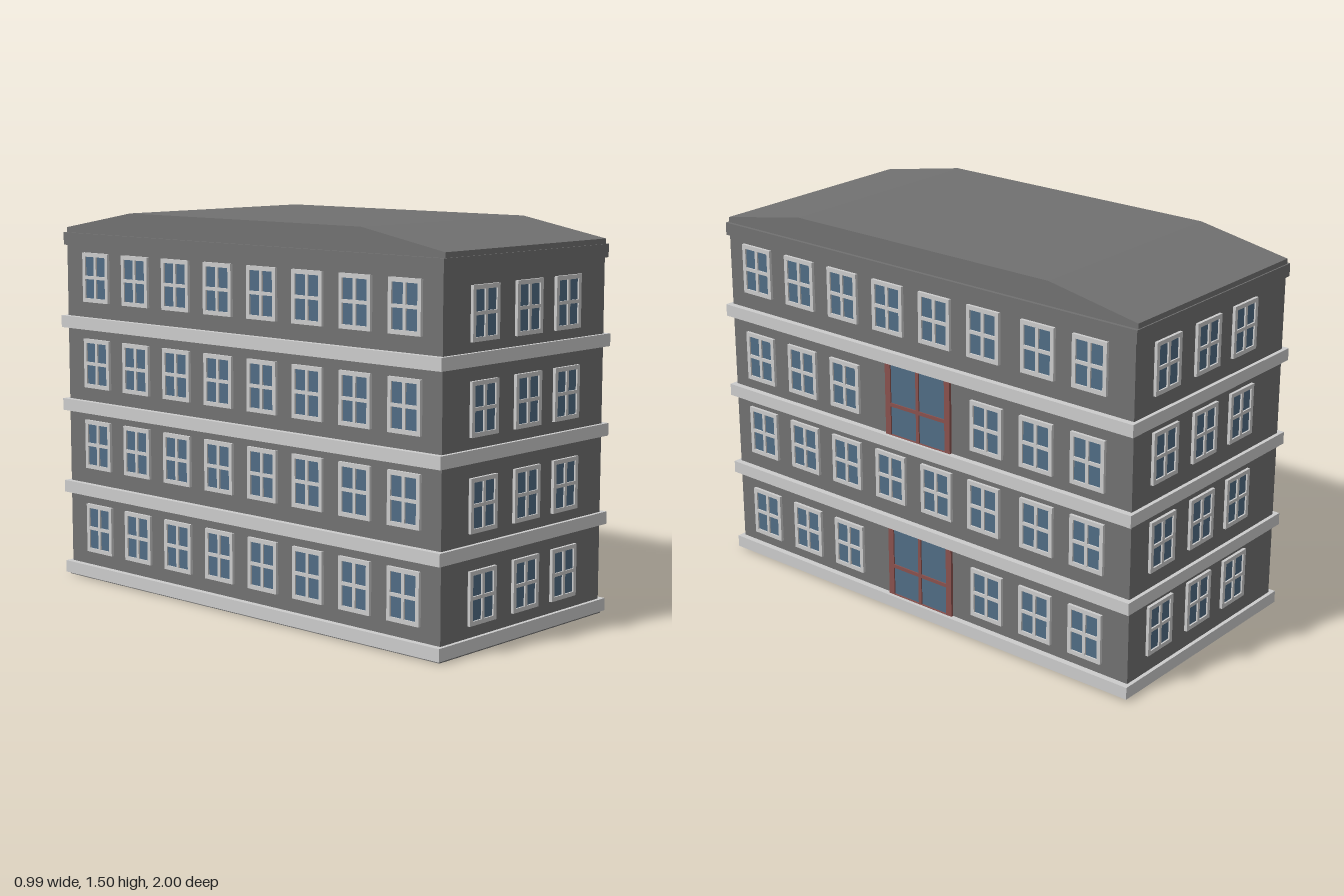
import * as THREE from 'three';

const mat = (color) => new THREE.MeshStandardMaterial({ color });
const wallMat = mat(0x717171);
const bandMat = mat(0xbcbcbc);
const frameMat = mat(0xcccccc);
const glassMat = mat(0x506c84);
const doorMat = mat(0x89514d);

const HALF_X = 0.47, HALF_Z = 0.985; // wall faces

function box(parent, name, w, h, d, x, y, z, material) {
  const mesh = new THREE.Mesh(new THREE.BoxGeometry(w, h, d), material);
  mesh.name = name;
  mesh.position.set(x, y, z);
  parent.add(mesh);
  return mesh;
}

// Flat frame with four panes cut out; the crossbar sits at height barY
function framePanel(w, h, edgeX, edgeY, bar, barY, depth) {
  const rect = (Kind, x0, y0, x1, y1) => {
    const p = new Kind();
    p.moveTo(x0, y0);
    p.lineTo(x1, y0);
    p.lineTo(x1, y1);
    p.lineTo(x0, y1);
    p.closePath();
    return p;
  };
  const shape = rect(THREE.Shape, -w / 2, -h / 2, w / 2, h / 2);
  for (const [x0, x1] of [[-w / 2 + edgeX, -bar / 2], [bar / 2, w / 2 - edgeX]]) {
    for (const [y0, y1] of [[-h / 2 + edgeY, barY - bar / 2], [barY + bar / 2, h / 2 - edgeY]]) {
      shape.holes.push(rect(THREE.Path, x0, y0, x1, y1));
    }
  }
  return new THREE.ExtrudeGeometry(shape, { depth, bevelEnabled: false });
}

const windowGeo = framePanel(0.15, 0.198, 0.016, 0.016, 0.013, 0, 0.012);
const windowGlassGeo = new THREE.BoxGeometry(0.13, 0.18, 0.005);
const doorGeo = framePanel(0.32, 0.29, 0.026, 0.004, 0.014, -0.02, 0.011);
const doorGlassGeo = new THREE.BoxGeometry(0.3, 0.285, 0.005);

// A frame and its glass, built facing +z
function opening(name, frameGeo, glassGeo, frameMaterial) {
  const group = new THREE.Group();
  group.name = name;
  const frame = new THREE.Mesh(frameGeo, frameMaterial);
  frame.name = name + 'Frame';
  const glass = new THREE.Mesh(glassGeo, glassMat);
  glass.name = name + 'Glass';
  glass.position.z = 0.003;
  group.add(frame, glass);
  return group;
}

export function createModel() {
  const model = new THREE.Group();
  model.name = 'building';

  // Body, base and cornice
  box(model, 'base', 0.96, 0.02, 1.98, 0, 0.01, 0, wallMat);
  box(model, 'walls', HALF_X * 2, 1.38, HALF_Z * 2, 0, 0.7, 0, wallMat);
  box(model, 'cornice', 0.96, 0.05, 1.99, 0, 1.385, 0, wallMat);

  // Ledge at the foot of each storey
  for (const y of [0.0325, 0.37, 0.71, 1.05]) {
    box(model, 'ledge', 0.99, 0.048, 2, 0, y, 0, bandMat);
  }

  // Roof: sloped at both ends, flat in the middle
  const profile = new THREE.Shape([
    [-0.99, 1.4], [0.99, 1.4], [0.99, 1.43], [0.605, 1.5], [-0.605, 1.5], [-0.99, 1.43],
  ].map(([z, y]) => new THREE.Vector2(z, y)));
  const roofGeo = new THREE.ExtrudeGeometry(profile, { depth: 0.934, bevelEnabled: false });
  roofGeo.translate(0, 0, -0.467).rotateY(Math.PI / 2);
  const roof = new THREE.Mesh(roofGeo, wallMat);
  roof.name = 'roof';
  model.add(roof);

  const addWindow = (x, y, z, turn) => {
    const w = opening('window', windowGeo, windowGlassGeo, frameMat);
    w.position.set(x, y, z);
    w.rotation.y = turn;
    model.add(w);
  };

  // Front and back windows
  for (const y of [0.2, 0.533, 0.875, 1.21]) {
    for (const x of [-0.246, 0.004, 0.235]) addWindow(x, y, HALF_Z, 0);
    for (const x of [-0.195, 0.04, 0.286]) addWindow(x, y + 0.025, -HALF_Z, Math.PI);
  }

  // Plain long side: eight windows on every storey
  for (const y of [0.212, 0.558, 0.889, 1.236]) {
    for (let i = 0; i < 8; i++) addWindow(-HALF_X - 0.004, y, -0.8 + i * 0.232, -Math.PI / 2);
  }

  // Entrance side: storeys with a double door leave out the middle windows
  const fullRow = [0.827, 0.597, 0.37, 0.14, -0.091, -0.322, -0.571, -0.8];
  const doorRow = [0.827, 0.597, 0.37, -0.336, -0.567, -0.798];
  [[0.2, doorRow], [0.558, fullRow], [0.878, doorRow], [1.242, fullRow]].forEach(([y, row]) => {
    for (const z of row) addWindow(HALF_X + 0.004, y, z, Math.PI / 2);
  });
  for (const y of [0.201, 0.878]) {
    const door = opening('door', doorGeo, doorGlassGeo, doorMat);
    door.position.set(HALF_X, y, 0);
    door.rotation.y = Math.PI / 2;
    model.add(door);
  }

  return model;
}
